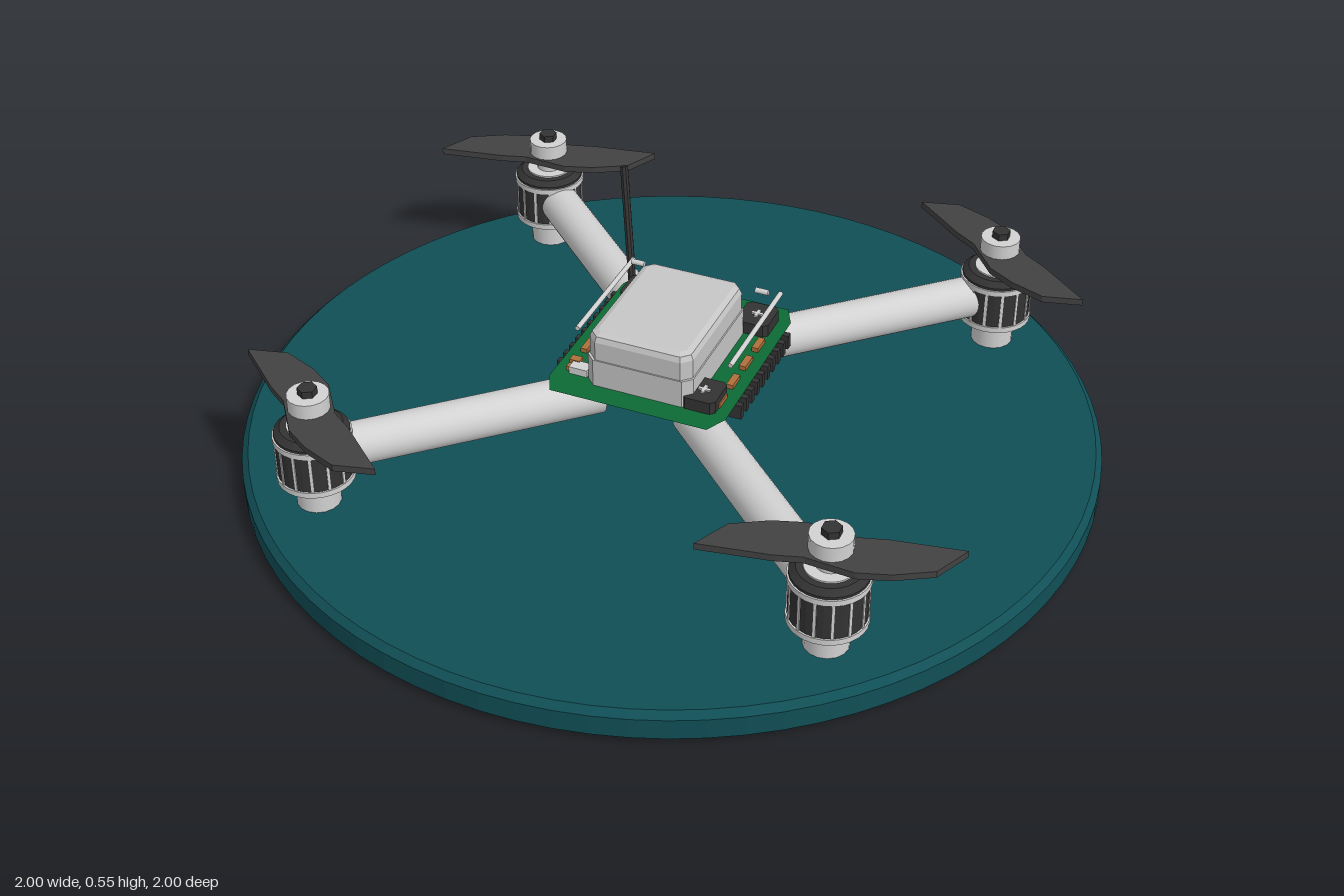
import * as THREE from 'three';

const mat = (name, color, flatShading = false) => {
  const m = new THREE.MeshStandardMaterial({ color, flatShading });
  m.name = name;
  return m;
};

export function createModel() {
  const teal = mat('teal base', 0x104f56, true);
  const silver = mat('light grey', 0xd2d2d2);
  const shell = mat('shell grey', 0xc6c6c6, true);
  const dark = mat('charcoal', 0x333333, true);
  const bladeMat = mat('propeller grey', 0x424242, true);
  const green = mat('board green', 0x0d6b36, true);
  const copper = mat('copper', 0xb0703c, true);

  const model = new THREE.Group();
  const add = (parent, name, geo, material, x = 0, y = 0, z = 0) => {
    const mesh = new THREE.Mesh(geo, material);
    mesh.name = name;
    mesh.position.set(x, y, z);
    parent.add(mesh);
    return mesh;
  };
  const box = (w, h, d) => new THREE.BoxGeometry(w, h, d);
  // Upright cylinder between two heights
  const drum = (parent, name, r, y0, y1, material, sides = 28) =>
    add(parent, name, new THREE.CylinderGeometry(r, r, y1 - y0, sides), material, 0, (y0 + y1) / 2, 0);
  // Cylinder between two points
  const rod = (parent, name, a, b, r, material, sides = 10) => {
    const p = new THREE.Vector3(...a), q = new THREE.Vector3(...b);
    const mesh = add(parent, name, new THREE.CylinderGeometry(r, r, p.distanceTo(q), sides), material);
    mesh.position.copy(p).add(q).multiplyScalar(0.5);
    mesh.quaternion.setFromUnitVectors(new THREE.Vector3(0, 1, 0), q.sub(p).normalize());
    return mesh;
  };
  // Flat plan outline (x, z) extruded upwards from y = 0
  const slab = (points, height, bevel = 0) => {
    const shape = new THREE.Shape(points.map(([x, z]) => new THREE.Vector2(x, -z)));
    const geo = new THREE.ExtrudeGeometry(shape, {
      depth: height - 2 * bevel, bevelEnabled: bevel > 0, bevelSize: bevel,
      bevelThickness: bevel, bevelOffset: -bevel, bevelSegments: 2, steps: 1,
    });
    return geo.rotateX(-Math.PI / 2).translate(0, bevel, 0);
  };
  // Rectangle with cut corners
  const cutRect = (x, z, c, d = c) => [
    [x - c, z], [x, z - d], [x, -z + d], [x - c, -z],
    [-x + c, -z], [-x, -z + d], [-x, z - d], [-x + c, z],
  ];

  // Round base with bevelled rims
  const rim = [[0, 0], [0.985, 0], [1, 0.015], [1, 0.065], [0.985, 0.08], [0, 0.08]];
  add(model, 'base', new THREE.LatheGeometry(rim.map(([r, y]) => new THREE.Vector2(r, y)), 80), teal);

  // Two-bladed propeller outline, symmetric under a half turn
  const half = [[0.04, -0.05], [0.10, -0.068], [0.257, -0.096], [0.217, -0.012], [0.14, 0.032], [0.07, 0.055]];
  const bladeGeo = slab([...half, ...half.map(([x, z]) => [-x, -z])], 0.016);

  for (const sx of [-1, 1]) for (const sz of [-1, 1]) {
    rod(model, 'arm', [sx * 0.57, 0.214, sz * 0.575], [sx * 0.115, 0.214, sz * 0.15], 0.05, silver, 28);

    // Motor with end rings and vertical coil gaps
    const motor = new THREE.Group();
    motor.name = 'motor';
    motor.position.set(sx * 0.6, 0, sz * 0.6);
    model.add(motor);
    drum(motor, 'motorFoot', 0.05, 0.08, 0.145, silver, 16);
    const bell = [[0, 0.142], [0.072, 0.142], [0.084, 0.15], [0.084, 0.275], [0.07, 0.287], [0, 0.287]];
    add(motor, 'motorBell', new THREE.LatheGeometry(bell.map(([r, y]) => new THREE.Vector2(r, y)), 28), dark);
    drum(motor, 'lowerRing', 0.088, 0.151, 0.165, silver);
    drum(motor, 'upperRing', 0.088, 0.255, 0.269, silver);
    for (let i = 0; i < 14; i++) {
      const a = (i / 14) * Math.PI * 2;
      const strip = add(motor, 'coilGap', box(0.007, 0.09, 0.008), silver,
        Math.sin(a) * 0.082, 0.21, Math.cos(a) * 0.082);
      strip.rotation.y = a;
    }
    drum(motor, 'topWasher', 0.055, 0.284, 0.291, silver);
    drum(motor, 'shaft', 0.03, 0.287, 0.325, silver, 16);

    // Propeller, hub and nut
    const blade = add(motor, 'propeller', bladeGeo, bladeMat, 0, 0.319, 0);
    blade.rotation.y = sx === sz ? 0 : -0.873;
    drum(motor, 'propellerHub', 0.047, 0.317, 0.371, silver, 16);
    drum(motor, 'propellerNut', 0.022, 0.36, 0.388, dark, 6);
  }

  // Board tray: cut-corner outline that flares upwards
  const tray = slab(cutRect(0.215, 0.255, 0.025, 0.05), 0.052);
  const pos = tray.attributes.position;
  for (let i = 0; i < pos.count; i++) {
    if (pos.getY(i) < 0.01) pos.setXYZ(i, pos.getX(i) * 0.76, 0, pos.getZ(i) * 0.72);
  }
  tray.computeVertexNormals();
  add(model, 'boardTray', tray, green, 0, 0.214, 0);

  // Rounded body shell with a slightly wider lower half
  add(model, 'bodyShell', slab(cutRect(0.125, 0.167, 0.022), 0.14, 0.018), shell, 0, 0.26, 0.03);
  add(model, 'bodyLower', slab(cutRect(0.128, 0.17, 0.02), 0.075), shell, 0, 0.26, 0.03);

  for (const s of [-1, 1]) {
    // Pin row along the tray side
    add(model, 'pinRail', box(0.012, 0.025, 0.32), dark, s * 0.203, 0.248, -0.02);
    for (let i = 0; i < 10; i++) {
      add(model, 'pin', box(0.03, 0.036, 0.016), dark, s * 0.212, 0.243, -0.165 + i * 0.033);
    }
    // Copper contacts beside the body
    for (let i = 0; i < 4; i++) {
      add(model, 'contact', box(0.016, 0.012, 0.045), copper, s * 0.18, 0.271, -0.085 + i * 0.078);
    }
    // Side rails and small studs
    rod(model, 'sideRail', [s * 0.187, 0.342, 0.11], [s * 0.187, 0.342, -0.205], 0.006, silver);
    rod(model, 'stud', [s * 0.14, 0.364, -0.165], [s * 0.172, 0.364, -0.165], 0.007, silver);
  }

  // Corner mounts with cross-slot screws
  for (const [x, z] of [[-0.15, -0.168], [0.145, -0.168], [0.145, 0.157]]) {
    add(model, 'cornerMount', slab(cutRect(0.04, 0.044, 0.01), 0.034), dark, x, 0.262, z);
    add(model, 'screwSlot', box(0.028, 0.006, 0.008), silver, x, 0.297, z);
    add(model, 'screwSlot', box(0.008, 0.006, 0.028), silver, x, 0.297, z);
  }
  add(model, 'terminal', box(0.045, 0.02, 0.03), silver, -0.155, 0.274, 0.165);
  add(model, 'terminalContact', box(0.025, 0.02, 0.02), copper, -0.175, 0.276, 0.145);

  // Leaning antenna
  rod(model, 'antenna', [-0.195, 0.27, -0.215], [-0.242, 0.545, -0.28], 0.01, dark, 8);

  return model;
}
